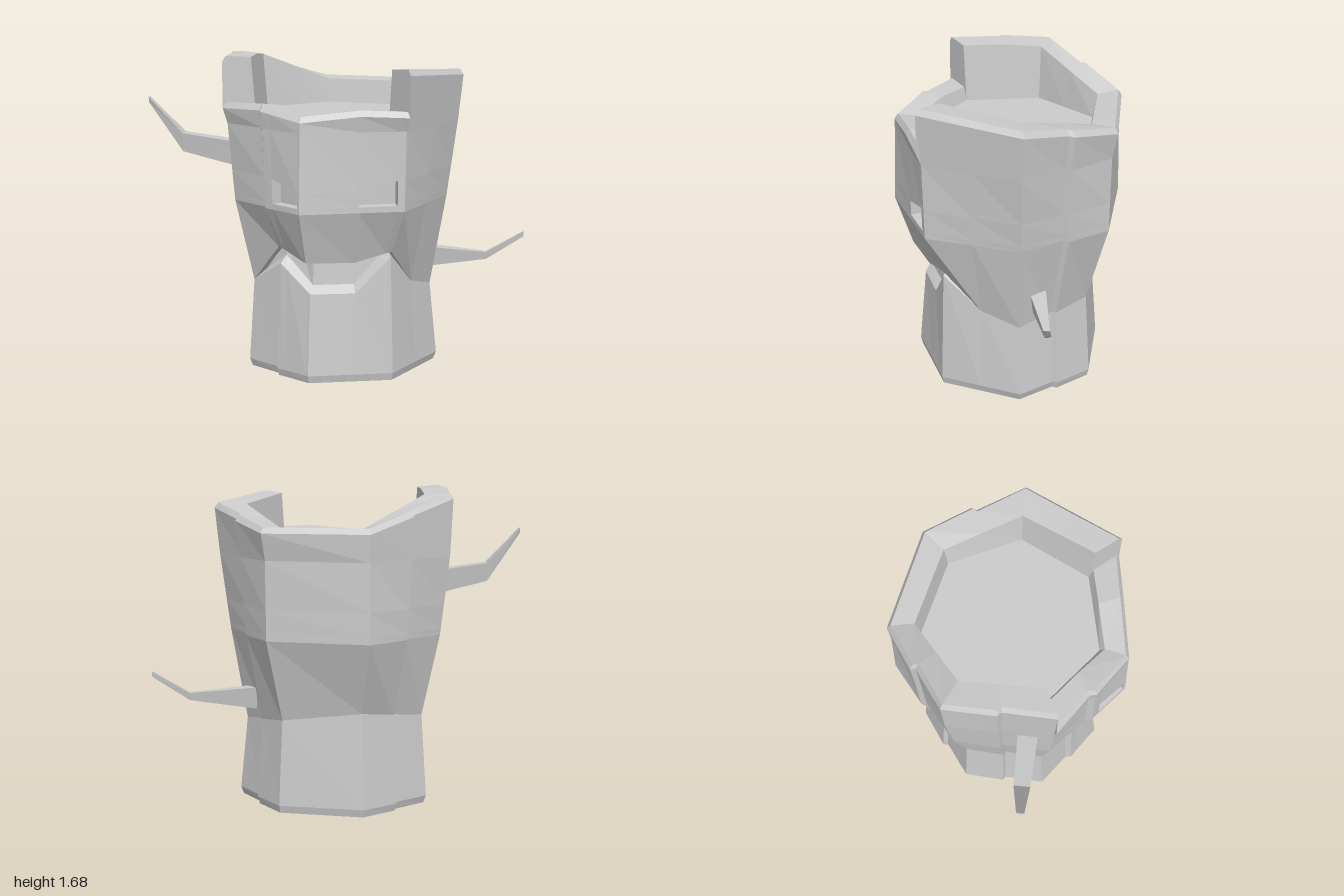
import * as THREE from 'three';

// Radii at the seven trunk corners, starting at +x and turning toward +z
const FOOT = [0.52, 0.505, 0.505, 0.5, 0.5, 0.51, 0.505];
const HEEL = [0.535, 0.515, 0.515, 0.515, 0.515, 0.52, 0.515];
const WAIST = [0.495, 0.49, 0.475, 0.485, 0.485, 0.48, 0.485];
const LIP = [0.495, 0.495, 0.54, 0.485, 0.485, 0.48, 0.485];
const CHEEK = [0.58, 0.61, 0.635, 0.585, 0.585, 0.63, 0.61];
const BROW = [0.635, 0.62, 0.62, 0.62, 0.635, 0.62, 0.615];
const CROWN = [0.66, 0.65, 0.62, 0.645, 0.65, 0.63, 0.645];

// Heights that change around the trunk: [corner position, y]
const JAW = [[0, 0.43], [0.5, 0.49], [1, 0.66], [1.44, 0.47], [2, 0.47], [2.5, 0.61], [3, 0.48], [4, 0.48], [5, 0.54], [6, 0.49], [7, 0.43]];
const MOUTH = [[0, 0.43], [0.5, 0.49], [1, 0.69], [1.44, 0.64], [2, 0.65], [2.5, 0.71], [3, 0.48], [4, 0.48], [5, 0.54], [6, 0.49], [7, 0.43]];
const RIM = [[0, 1.6], [1, 1.64], [1.001, 1.43], [1.44, 1.44], [2, 1.41], [2.5, 1.45], [3, 1.44], [3.001, 1.68], [3.5, 1.68], [4, 1.66], [5, 1.5], [6, 1.5], [7, 1.6]];
const EYE_TOP = [[0, 1.08], [1.07, 1.08], [1.44, 1.03], [2.03, 1.03], [2.38, 1.08], [7, 1.08]];

// Columns around the trunk: [corner position, bark plate offset]
const COLUMNS = [
  [0, 0], [0.5, 0], [1, 0], [1.001, 0], [1.07, 0], [1.44, 0], [2, 0], [2.03, 0], [2.38, 0.01],
  [2.48, 0.015], [2.53, -0.008], [3, 0], [3.001, 0], [3.48, -0.008], [3.51, 0.012], [4, 0],
  [4.48, -0.008], [4.51, 0.015], [5, 0], [6, 0], [6.48, 0.015], [6.52, -0.008], [7, 0],
];

function heightAt(keys, u) {
  for (let i = 1; i < keys.length; i++) {
    const [u0, y0] = keys[i - 1], [u1, y1] = keys[i];
    if (u <= u1) return y0 + (y1 - y0) * (u - u0) / (u1 - u0);
  }
  return keys[keys.length - 1][1];
}

// Point on a seven-sided outline, pushed out radially
function outline(radii, u, push, y) {
  const corner = (k) => {
    const a = (k % 7) * Math.PI * 2 / 7;
    return new THREE.Vector3(Math.cos(a), 0, Math.sin(a)).multiplyScalar(radii[k % 7]);
  };
  const k = Math.min(Math.floor(u), 6);
  const p = corner(k).lerp(corner(k + 1), u - k);
  p.setLength(p.length() + push);
  return p.setY(y);
}

const flat = (r) => Array(7).fill(r);
const blend = (a, b, t) => a.map((v, i) => v + (b[i] - v) * t);

function addQuad(out, a, b, c, d) {
  for (const [p, q, r] of [[a, b, c], [a, c, d]]) {
    const n = q.clone().sub(p).cross(r.clone().sub(p));
    if (n.length() > 1e-9) for (const v of [p, q, r]) out.push(v.x, v.y, v.z);
  }
}

function makeMesh(name, out) {
  const geometry = new THREE.BufferGeometry();
  geometry.setAttribute('position', new THREE.Float32BufferAttribute(out, 3));
  geometry.computeVertexNormals();
  const mesh = new THREE.Mesh(geometry, new THREE.MeshStandardMaterial({ color: 0xcccccc, flatShading: true }));
  mesh.name = name;
  return mesh;
}

// Skin rings from bottom to top; each ring maps a column to a point
function makeShell(name, rings, isHole = () => false) {
  const out = [];
  const grid = rings.map((ring) => COLUMNS.map(([u, push]) => ring(u, push)));
  for (let i = 0; i + 1 < grid.length; i++) {
    for (let j = 0; j + 1 < COLUMNS.length; j++) {
      const q = [grid[i][j], grid[i + 1][j], grid[i + 1][j + 1], grid[i][j + 1]];
      if (!isHole(i, COLUMNS[j][0])) {
        addQuad(out, ...q);
        continue;
      }
      // sunken pocket
      const inward = q[1].clone().sub(q[0]).cross(q[3].clone().sub(q[0])).setLength(-0.06);
      const deep = q.map((p) => p.clone().add(inward));
      addQuad(out, ...deep);
      for (let e = 0; e < 4; e++) {
        const f = (e + 1) % 4;
        addQuad(out, q[e], q[f], deep[f], deep[e]);
      }
    }
  }
  return makeMesh(name, out);
}

// Twig skinned through box sections: [x, y, z, half height, half depth]
function makeTwig(name, sections) {
  const out = [];
  const rings = sections.map(([x, y, z, h, d]) => [[1, 1], [1, -1], [-1, -1], [-1, 1]].map(
    ([sy, sz]) => new THREE.Vector3(x, y + sy * h, z + sz * d * (sy > 0 ? 1 : 0.6))));
  if (sections[0][0] < 0) rings.forEach((r) => r.reverse());
  for (let i = 0; i + 1 < rings.length; i++) {
    for (let e = 0; e < 4; e++) {
      const f = (e + 1) % 4;
      addQuad(out, rings[i][e], rings[i + 1][e], rings[i + 1][f], rings[i][f]);
    }
  }
  addQuad(out, ...rings[rings.length - 1].slice().reverse());
  return makeMesh(name, out);
}

export function createModel() {
  const model = new THREE.Group();
  model.name = 'treeStump';

  // Lower trunk with the bevelled lower lip and mouth interior
  model.add(makeShell('lowerTrunk', [
    (u) => outline(flat(0), u, 0, 0),
    (u, p) => outline(FOOT, u, p, 0),
    (u, p) => outline(HEEL, u, p, 0.04),
    (u, p) => outline(WAIST, u, p, heightAt(JAW, u)),
    (u, p) => outline(WAIST, u, p - 0.045, heightAt(JAW, u) + 0.04),
    (u) => outline(WAIST, u, -0.07, 0.8),
  ]));

  // Upper trunk: upper lip, cheeks, eye pockets, broken rim and hollow top
  const eyeColumns = [1.07, 2.03];
  model.add(makeShell('upperTrunk', [
    (u) => outline(flat(0.38), u, 0, heightAt(MOUTH, u) + 0.03),
    (u, p) => outline(LIP, u, p, heightAt(MOUTH, u)),
    (u, p) => outline(CHEEK, u, p, 0.92),
    (u, p) => outline(blend(CHEEK, BROW, 0.07), u, p, 0.95),
    (u, p) => {
      const y = heightAt(EYE_TOP, u);
      return outline(blend(CHEEK, BROW, (y - 0.92) / 0.41), u, p, y);
    },
    (u, p) => outline(BROW, u, p, 1.33),
    (u, p) => outline(CROWN, u, p, heightAt(RIM, u) - 0.03),
    (u, p) => outline(CROWN, u, p - 0.02, heightAt(RIM, u)),
    (u) => outline(flat(0.49), u, 0, heightAt(RIM, u) - 0.01),
    (u) => outline(flat(0.465), u, 0, 1.36),
    (u) => outline(flat(0), u, 0, 1.36),
  ], (row, u) => row === 3 && eyeColumns.includes(u)));

  // Bent twigs at the sides
  model.add(makeTwig('leftTwig', [
    [0.44, 0.56, -0.1, 0.06, 0.045], [0.8, 0.567, -0.105, 0.02, 0.016], [1, 0.69, -0.107, 0.014, 0.009],
  ]));
  model.add(makeTwig('rightTwig', [
    [-0.46, 1.14, 0.137, 0.07, 0.054], [-0.82, 1.21, 0.135, 0.05, 0.042], [-1, 1.435, 0.145, 0.014, 0.02],
  ]));
  return model;
}
